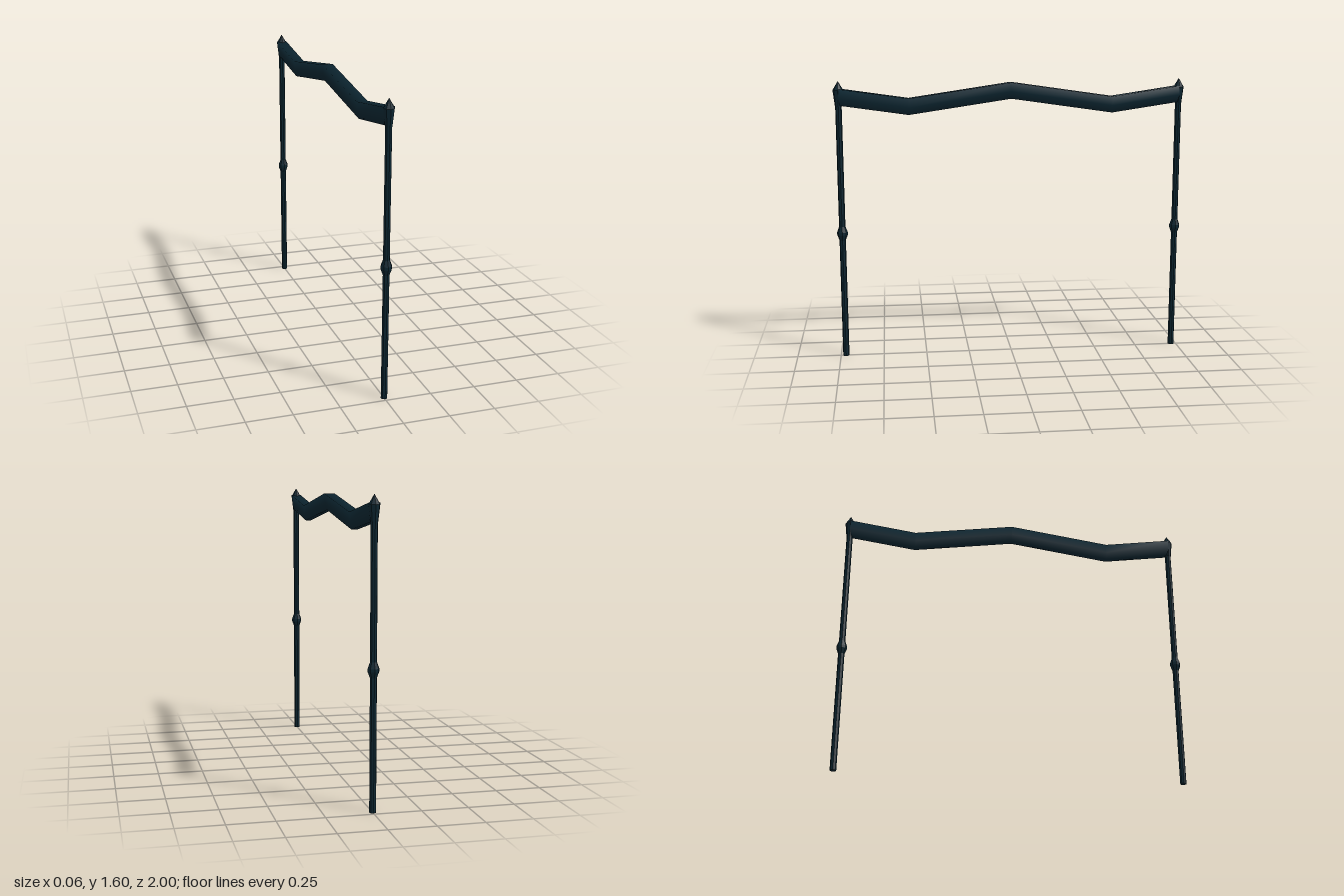
import * as THREE from 'three';

const darkTeal = new THREE.MeshStandardMaterial({ color: 0x0c2530 });
darkTeal.name = 'darkTeal';
const facetedTeal = darkTeal;

// Eight-sided turned part from [radius, height] pairs, with hard facets
function turned(name, profile) {
  const points = profile.map(([r, y]) => new THREE.Vector2(r, y));
  const geometry = new THREE.LatheGeometry(points, 8).toNonIndexed();
  geometry.computeVertexNormals();
  const mesh = new THREE.Mesh(geometry, facetedTeal);
  mesh.name = name;
  return mesh;
}

// Handrail: a section narrowing downwards, swept along a zigzag of [z, y] stations
function handrail() {
  const path = [[0.97, 1.508], [0.58, 1.451], [0, 1.536], [-0.58, 1.451], [-0.97, 1.508]];
  const section = [[-0.03, 0.046], [0.03, 0.046], [0.025, -0.005], [0.016, -0.046], [-0.016, -0.046], [-0.025, -0.005]];
  const n = section.length;
  const positions = [];
  const index = [];
  for (const [z, y] of path) {
    for (const [x, dy] of section) positions.push(x, y + dy, z);
  }
  for (let i = 0; i < path.length - 1; i++) {
    for (let j = 0; j < n; j++) {
      const a = i * n + j;
      const b = i * n + (j + 1) % n;
      index.push(a, b, a + n, b, b + n, a + n);
    }
  }
  // End faces
  const last = (path.length - 1) * n;
  for (let j = 1; j < n - 1; j++) {
    index.push(0, j + 1, j);
    index.push(last, last + j, last + j + 1);
  }
  const geometry = new THREE.BufferGeometry();
  geometry.setAttribute('position', new THREE.Float32BufferAttribute(positions, 3));
  geometry.setIndex(index);
  geometry.computeVertexNormals();
  const mesh = new THREE.Mesh(geometry, darkTeal);
  mesh.name = 'handrail';
  return mesh;
}

export function createModel() {
  const model = new THREE.Group();
  model.name = 'railing';
  model.add(handrail());

  // Matching posts at both ends
  for (const [side, z] of [['front', 0.97], ['back', -0.97]]) {
    const post = new THREE.Group();
    post.name = side + 'Post';
    post.position.z = z;
    post.add(
      turned('shaft', [[0, 0], [0.018, 0], [0.018, 1.48]]),
      turned('knob', [[0.018, 0.69], [0.03, 0.722], [0.03, 0.738], [0.018, 0.77]]),
      turned('cap', [[0, 1.455], [0.019, 1.455], [0.03, 1.547], [0, 1.597]])
    );
    model.add(post);
  }
  return model;
}
